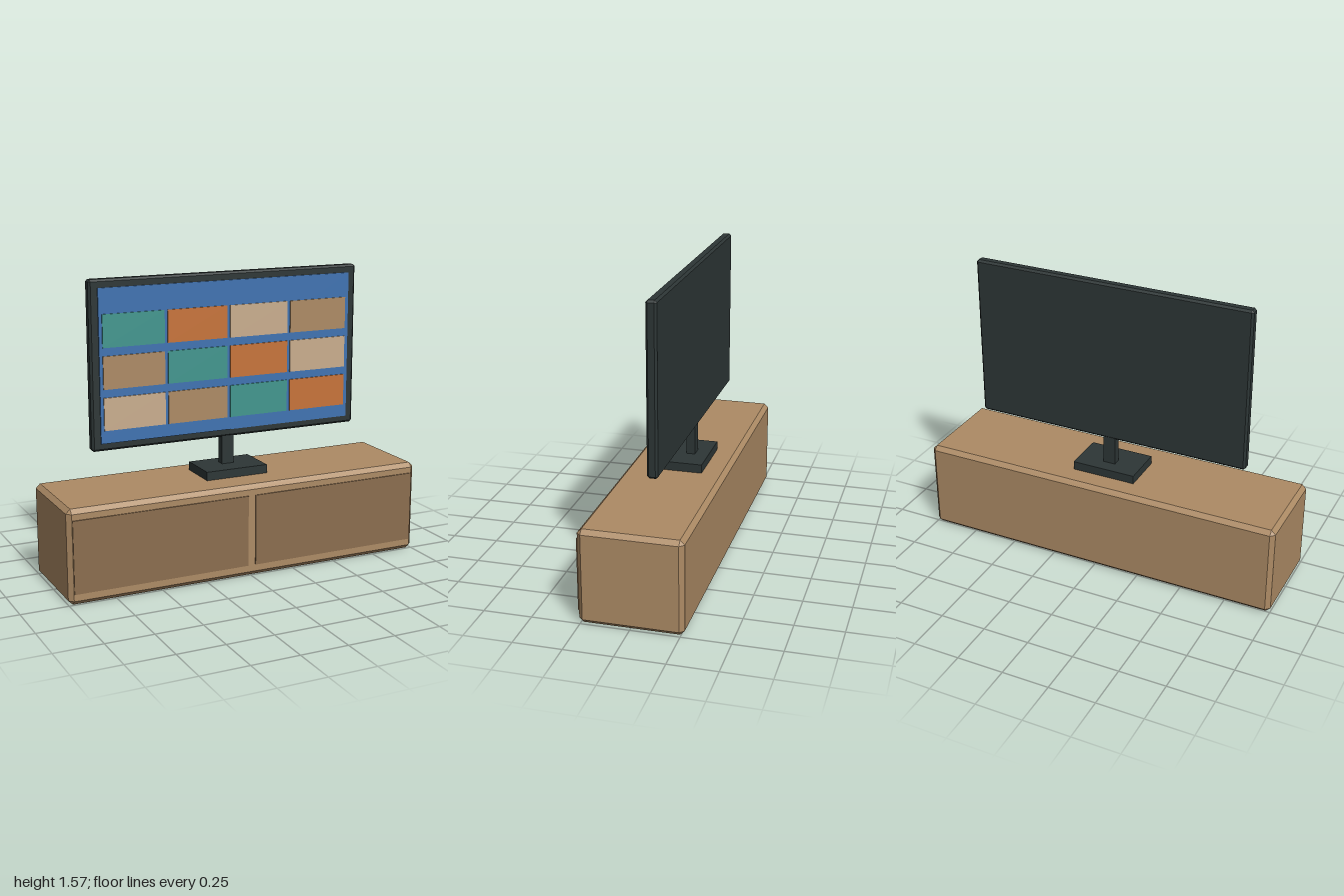
import * as THREE from 'three';
import { ConvexGeometry } from 'three/addons/geometries/ConvexGeometry.js';

const material = (name, color) => {
  const m = new THREE.MeshStandardMaterial({ color });
  m.name = name;
  return m;
};

// Box with every edge cut by a flat chamfer c
function chamferedBox(w, h, d, c) {
  const points = [];
  for (const sx of [-1, 1]) for (const sy of [-1, 1]) for (const sz of [-1, 1]) {
    for (const axis of [0, 1, 2]) {
      const half = [w / 2 - c, h / 2 - c, d / 2 - c];
      half[axis] += c;
      points.push(new THREE.Vector3(sx * half[0], sy * half[1], sz * half[2]));
    }
  }
  return new ConvexGeometry(points);
}

export function createModel() {
  const group = new THREE.Group();
  group.name = 'televisionOnCabinet';

  const wood = material('wood', 0xad8b65);
  const doorWood = material('darkWood', 0x8b6e4f);
  const casing = material('charcoal', 0x2d3636);
  const blue = material('screenBlue', 0x4073b2);
  const teal = material('teal', 0x42978f);
  const orange = material('orange', 0xc8743a);
  const cream = material('cream', 0xcaae8e);

  // Adds a box spanning the given ranges, chamfered if c > 0
  const addBox = (name, mat, [x0, x1], [y0, y1], [z0, z1], c = 0) => {
    const size = [x1 - x0, y1 - y0, z1 - z0];
    const geometry = c > 0 ? chamferedBox(...size, c) : new THREE.BoxGeometry(...size);
    const mesh = new THREE.Mesh(geometry, mat);
    mesh.name = name;
    mesh.position.set((x0 + x1) / 2, (y0 + y1) / 2, (z0 + z1) / 2);
    group.add(mesh);
  };

  // Cabinet and its two doors
  addBox('cabinet', wood, [-1, 1], [0, 0.495], [-0.267, 0.261], 0.023);
  addBox('rightDoor', doorWood, [-0.975, -0.021], [0.06, 0.44], [0.258, 0.267]);
  addBox('leftDoor', doorWood, [0.021, 0.975], [0.06, 0.44], [0.258, 0.267]);

  // Stand
  addBox('standBase', casing, [-0.175, 0.175], [0.494, 0.541], [-0.144, 0.088]);
  addBox('standNeck', casing, [-0.034, 0.034], [0.54, 0.7], [-0.072, -0.026]);

  // Television
  addBox('televisionCasing', casing, [-0.763, 0.763], [0.69, 1.567], [-0.076, -0.021], 0.011);
  addBox('screen', blue, [-0.717, 0.717], [0.73, 1.525], [-0.022, -0.014]);

  // Grid of screen tiles, each row shifted by one colour
  const tileColors = [teal, orange, cream, wood];
  for (let row = 0; row < 3; row++) {
    for (let col = 0; col < 4; col++) {
      const x = (col - 1.5) * 0.353 - 0.002;
      const y = 1.309 - row * 0.213;
      addBox('screenTile', tileColors[(col - row + 4) % 4],
        [x - 0.168, x + 0.168], [y - 0.085, y + 0.085], [-0.0145, -0.008]);
    }
  }
  return group;
}
